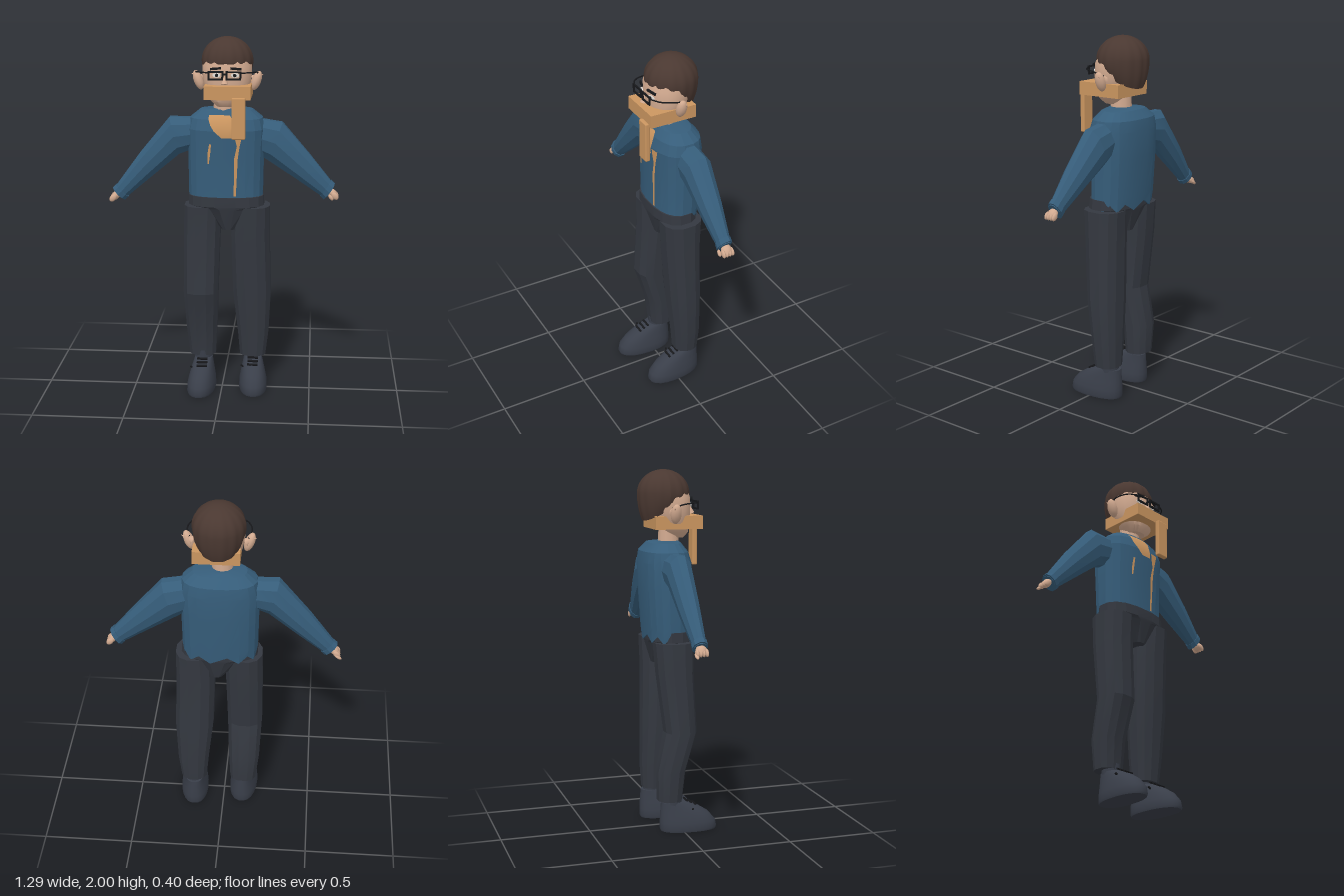
import * as THREE from 'three';
import { toCreasedNormals } from 'three/addons/utils/BufferGeometryUtils.js';
import { RoundedBoxGeometry } from 'three/addons/geometries/RoundedBoxGeometry.js';

const material = (name, color, extra = {}) => new THREE.MeshStandardMaterial({ name, color, ...extra });
const M = {
  skin: material('skin', 0xd2aa90),
  hair: material('hair', 0x4a3831, { side: THREE.DoubleSide }),
  shirt: material('shirt blue', 0x365d7a),
  pants: material('trouser charcoal', 0x343840),
  shoe: material('shoe slate', 0x393e49),
  tan: material('tan', 0xcb9660),
  black: material('black', 0x17181b),
  white: material('eye white', 0xe4e0da),
};

// Closed loft; each ring is [cx, cy, cz, ru, rz, tilt], tilt turning the u axis from x towards y
function loft(rings, sides, { power = 2, crease = 0.25, tweak } = {}) {
  const pos = [], idx = [];
  const bend = (c) => Math.sign(c) * Math.abs(c) ** (2 / power);
  rings.forEach(([cx, cy, cz, ru, rz, a = 0], i) => {
    for (let k = 0; k < sides; k++) {
      const t = ((k + 0.5) / sides) * Math.PI * 2;
      const u = ru * bend(Math.cos(t));
      const p = new THREE.Vector3(cx + u * Math.cos(a), cy + u * Math.sin(a), cz + rz * bend(Math.sin(t)));
      if (tweak) tweak(p, i, k);
      pos.push(p.x, p.y, p.z);
    }
  });
  const last = rings.length - 1;
  const c0 = pos.length / 3;
  pos.push(...rings[0].slice(0, 3), ...rings[last].slice(0, 3));
  for (let k = 0; k < sides; k++) {
    const n = (k + 1) % sides;
    for (let i = 0; i < last; i++) {
      const a = i * sides + k, b = i * sides + n;
      idx.push(a, a + sides, b, b, a + sides, b + sides);
    }
    idx.push(c0, k, n, c0 + 1, last * sides + n, last * sides + k);
  }
  // Turn all faces outward by the sign of the enclosed volume
  let volume = 0;
  const v = (i) => new THREE.Vector3().fromArray(pos, i * 3);
  for (let i = 0; i < idx.length; i += 3) volume += v(idx[i]).dot(v(idx[i + 1]).cross(v(idx[i + 2])));
  if (volume < 0) idx.reverse();
  const g = new THREE.BufferGeometry();
  g.setAttribute('position', new THREE.Float32BufferAttribute(pos, 3));
  g.setIndex(idx);
  return toCreasedNormals(g, crease);
}

const TORSO = [
  [0.02, 1.09, -0.052, 0.205, 0.119], [0.018, 1.14, -0.055, 0.207, 0.12], [0.018, 1.35, -0.06, 0.21, 0.13],
  [0.02, 1.5, -0.06, 0.214, 0.135], [0.02, 1.56, -0.065, 0.2, 0.122], [0.02, 1.605, -0.062, 0.145, 0.085],
  [0.015, 1.615, -0.05, 0.07, 0.065],
];
const TORSO_POWER = 2.5;

// Front surface of the shirt at (x, y)
function chestZ(x, y) {
  let i = 0;
  while (i < TORSO.length - 2 && y > TORSO[i + 1][1]) i++;
  const t = (y - TORSO[i][1]) / (TORSO[i + 1][1] - TORSO[i][1]);
  const [cx, , cz, rx, rz] = TORSO[i].map((a, k) => a + (TORSO[i + 1][k] - a) * t);
  return cz + rz * (1 - Math.min(1, Math.abs(x - cx) / rx) ** TORSO_POWER) ** (1 / TORSO_POWER);
}

// Thin face lying on the shirt; rows run down as [y, xLeft, xRight]
function chestPatch(rows) {
  const pos = [], idx = [], n = 4;
  rows.forEach(([y, x0, x1], i) => {
    for (let j = 0; j <= n; j++) {
      const x = x0 + ((x1 - x0) * j) / n;
      pos.push(x, y, chestZ(x, y) + 0.005);
      if (i && j) {
        const d = i * (n + 1) + j, b = d - n - 1;
        idx.push(b - 1, d - 1, b, b, d - 1, d);
      }
    }
  });
  const g = new THREE.BufferGeometry();
  g.setAttribute('position', new THREE.Float32BufferAttribute(pos, 3));
  g.setIndex(idx);
  g.computeVertexNormals();
  return g;
}

export function createModel() {
  const root = new THREE.Group();
  root.name = 'figure';
  const add = (name, geometry, mat, p = [0, 0, 0], s = [1, 1, 1], r = [0, 0, 0]) => {
    const mesh = new THREE.Mesh(geometry, mat);
    mesh.name = name;
    mesh.position.set(...p);
    mesh.scale.set(...s);
    mesh.rotation.set(...r);
    root.add(mesh);
    return mesh;
  };
  const ball = new THREE.SphereGeometry(1, 12, 8);
  const tube = (points, r) => new THREE.TubeGeometry(
    new THREE.CatmullRomCurve3(points.map((p) => new THREE.Vector3(...p))), 12, r, 5);

  // Shirt body with a ragged hem at the back
  add('shirt', loft(TORSO, 20, {
    power: TORSO_POWER,
    tweak: (p, i, k) => { if (i === 0 && p.z < -0.06) p.y += k % 2 ? -0.025 : 0.015; },
  }), M.shirt);
  add('chestPatch', chestPatch([[1.585, -0.07, 0.045], [1.56, -0.07, 0.06], [1.53, -0.06, 0.06], [1.5, -0.04, 0.06], [1.465, 0, 0.06]]), M.tan);
  add('longShirtTear', chestPatch([[1.5, 0.07, 0.12], [1.46, 0.075, 0.11], [1.42, 0.085, 0.1], [1.35, 0.07, 0.09], [1.14, 0.068, 0.08]]), M.tan);
  add('shortShirtTear', chestPatch([[1.43, -0.066, -0.055], [1.38, -0.075, -0.06], [1.32, -0.075, -0.068]]), M.tan);

  // Sleeves with cuffs
  const sleeves = {
    left: [[0.18, 1.46, -0.07, 0.1, 0.075, 1.57], [0.29, 1.425, -0.075, 0.118, 0.076, 1.23],
      [0.443, 1.287, -0.07, 0.082, 0.06, 1.1], [0.583, 1.156, -0.066, 0.05, 0.036, 0.98], [0.595, 1.146, -0.066, 0.045, 0.034, 0.98]],
    right: [[-0.16, 1.47, -0.06, 0.09, 0.07, 1.57], [-0.268, 1.455, -0.06, 0.112, 0.07, 1.82],
      [-0.43, 1.288, -0.057, 0.078, 0.056, 2.02], [-0.577, 1.126, -0.05, 0.045, 0.036, 2.35], [-0.588, 1.116, -0.05, 0.04, 0.034, 2.35]],
  };
  for (const [side, rings] of Object.entries(sleeves)) {
    add(side + 'Sleeve', loft(rings, 10), M.shirt);
    const [x, y, z, ru, rz, a] = rings[3];
    const d = Math.sign(x);
    add(side + 'Cuff', loft([-0.012, 0.008].map((t) => [x + d * t, y - t, z, ru + 0.006, rz + 0.006, a]), 10), M.shirt);
    // Hand stub with curled fingers
    const hx = x + d * 0.028, hy = y - 0.02;
    add(side + 'Palm', ball, M.skin, [hx, hy, z], [0.022, 0.032, 0.03], [0, 0, d * 0.75]);
    for (let f = 0; f < 4; f++) {
      add(side + 'Finger', ball, M.skin, [hx + d * 0.012, hy - 0.01, z + (f - 1.5) * 0.017], [0.017, 0.024, 0.01], [0, 0, d * 0.75]);
    }
  }
  add('rightThumb', ball, M.skin, [-0.625, 1.083, -0.08], [0.024, 0.009, 0.011], [0, 0, 0.6]);
  add('leftThumb', ball, M.skin, [0.6, 1.12, -0.03], [0.02, 0.01, 0.01], [0, 0, -0.9]);

  // Trousers
  add('waist', loft([[0.035, 0.94, -0.045, 0.045, 0.085], [0.03, 1.06, -0.045, 0.15, 0.117],
    [0.022, 1.075, -0.045, 0.212, 0.12], [0.02, 1.13, -0.045, 0.21, 0.118]], 16, { power: 2.5 }), M.pants);
  add('rightTrouserLeg', loft([[-0.115, 0.18, -0.07, 0.076, 0.068], [-0.12, 0.35, -0.065, 0.09, 0.08],
    [-0.12, 0.57, -0.01, 0.1, 0.09], [-0.115, 0.9, -0.04, 0.104, 0.103], [-0.11, 1.07, -0.045, 0.105, 0.112]], 12, { power: 2.4 }), M.pants);
  add('leftTrouserLeg', loft([[0.172, 0.18, -0.078, 0.075, 0.07], [0.174, 0.32, -0.076, 0.09, 0.08],
    [0.166, 0.57, -0.062, 0.11, 0.094], [0.156, 0.9, -0.05, 0.11, 0.105], [0.16, 1.07, -0.048, 0.106, 0.114]], 12, { power: 2.4 }), M.pants);

  // Shoes with ankles and laces
  for (const [side, x, z, turn] of [['right', -0.112, 0, -0.06], ['left', 0.175, -0.04, 0.06]]) {
    add(side + 'Shoe', loft([[0, 0, 0.04, 0.076, 0.158], [0, 0.012, 0.04, 0.08, 0.162], [0, 0.05, 0.036, 0.078, 0.158],
      [0, 0.095, 0.018, 0.068, 0.138], [0, 0.135, -0.012, 0.058, 0.105], [0, 0.165, -0.045, 0.05, 0.07]], 20,
    { power: 2.3, crease: 0.8 }), M.shoe, [x, 0, z], [1, 1, 1], [0, turn, 0]);
    add(side + 'Ankle', new THREE.CylinderGeometry(0.052, 0.05, 0.07, 12), M.shoe, [x, 0.175, z - 0.05]);
    for (let i = 0; i < 3; i++) {
      add(side + 'Lace', new THREE.BoxGeometry(0.06, 0.008, 0.012), M.black, [x, 0.146 + i * 0.012, z + 0.075 - i * 0.025], [1, 1, 1], [0.4, 0, 0]);
    }
    add(side + 'LaceEnd', new THREE.BoxGeometry(0.03, 0.008, 0.008), M.black, [x - 0.055, 0.125, z + 0.05], [1, 1, 1], [0, 0, -0.5]);
  }

  // Head and neck
  add('neck', new THREE.CylinderGeometry(0.055, 0.06, 0.12, 12), M.skin, [0.008, 1.63, -0.037]);
  add('head', loft([[0.02, 1.63, 0, 0.05, 0.05], [0.022, 1.66, 0, 0.085, 0.075], [0.025, 1.72, -0.02, 0.122, 0.1],
    [0.025, 1.78, -0.03, 0.134, 0.115], [0.025, 1.85, -0.038, 0.134, 0.122], [0.025, 1.93, -0.05, 0.105, 0.105]], 20,
  { power: 2.2, crease: 0.7 }), M.skin);
  add('nose', new THREE.ConeGeometry(0.02, 0.05, 8), M.skin, [0.02, 1.785, 0.093], [1, 1, 0.9], [-0.25, 0, 0]);

  // Ribbed bowl of hair, longer at the back
  const hair = new THREE.SphereGeometry(1, 64, 20, 0, Math.PI * 2, 0, Math.PI * 0.7);
  const hp = hair.attributes.position;
  for (let i = 0; i < hp.count; i++) {
    const x = hp.getX(i), y = hp.getY(i), z = hp.getZ(i);
    const r = Math.hypot(x, z), angle = Math.atan2(x, z);
    const back = (1 - Math.cos(angle)) / 2;
    const rib = 1 - 0.045 * (1 - Math.abs(Math.sin(angle * 7))) * r;
    hp.setXYZ(i, 0.024 + x * 0.141 * rib, 1.87 + y * (y > 0 ? 0.13 : 0.03 + 0.22 * back ** 0.9), -0.061 + z * 0.144 * rib);
  }
  hair.computeVertexNormals();
  add('hair', hair, M.hair);

  // Ears, eyes, brows and glasses, mirrored about the middle of the face
  const cx = 0.025;
  const lens = new THREE.Shape().moveTo(-0.041, -0.024).lineTo(0.041, -0.024).lineTo(0.043, 0.024).lineTo(-0.043, 0.024);
  lens.holes.push(new THREE.Path().moveTo(-0.031, -0.015).lineTo(-0.033, 0.015).lineTo(0.033, 0.015).lineTo(0.031, -0.015));
  const frame = new THREE.ExtrudeGeometry(lens, { depth: 0.008, bevelEnabled: false });
  for (const [side, s] of [['left', 1], ['right', -1]]) {
    add(side + 'Ear', ball, M.skin, [cx + s * 0.158, 1.765, -0.035], [0.026, 0.056, 0.03], [0, 0, s * -0.35]);
    add(side + 'EarTip', new THREE.ConeGeometry(0.025, 0.065, 8), M.skin, [cx + s * 0.168, 1.785, -0.048], [1, 1, 0.8], [0, 0, s * -1.1]);
    const disc = (r) => new THREE.CylinderGeometry(r, r, 0.006, 16).rotateX(Math.PI / 2);
    add(side + 'Eye', disc(0.022), M.white, [cx + s * 0.05, 1.807, 0.083], [1, 0.55, 1], [0, s * 0.3, 0]);
    add(side + 'Pupil', disc(0.009), M.black, [cx + s * 0.048, 1.807, 0.087], [1, 1, 1], [0, s * 0.3, 0]);
    add(side + 'Brow', new THREE.BoxGeometry(0.06, 0.012, 0.009), M.black, [cx + s * 0.055, 1.842, 0.084], [1, 1, 1], [0, s * 0.3, s * -0.12]);
    add(side + 'LensFrame', frame, M.black, [cx - 0.005 + s * 0.048, 1.808, 0.105]);
    add(side + 'Temple', tube([[cx + s * 0.085, 1.822, 0.108], [cx + s * 0.14, 1.822, 0.075], [cx + s * 0.168, 1.815, 0.0], [cx + s * 0.152, 1.795, -0.055]], 0.004), M.black);
  }
  add('glassesBridge', new THREE.BoxGeometry(0.03, 0.009, 0.008), M.black, [cx - 0.005, 1.815, 0.109]);

  // Tan block around the jaw and the slab hanging before it
  add('jawBlock', new THREE.BoxGeometry(0.25, 0.072, 0.265), M.tan, [0.035, 1.716, -0.003]);
  add('hangingSlab', new RoundedBoxGeometry(0.074, 0.225, 0.028, 2, 0.007), M.tan, [0.097, 1.582, 0.134]);

  return root;
}
